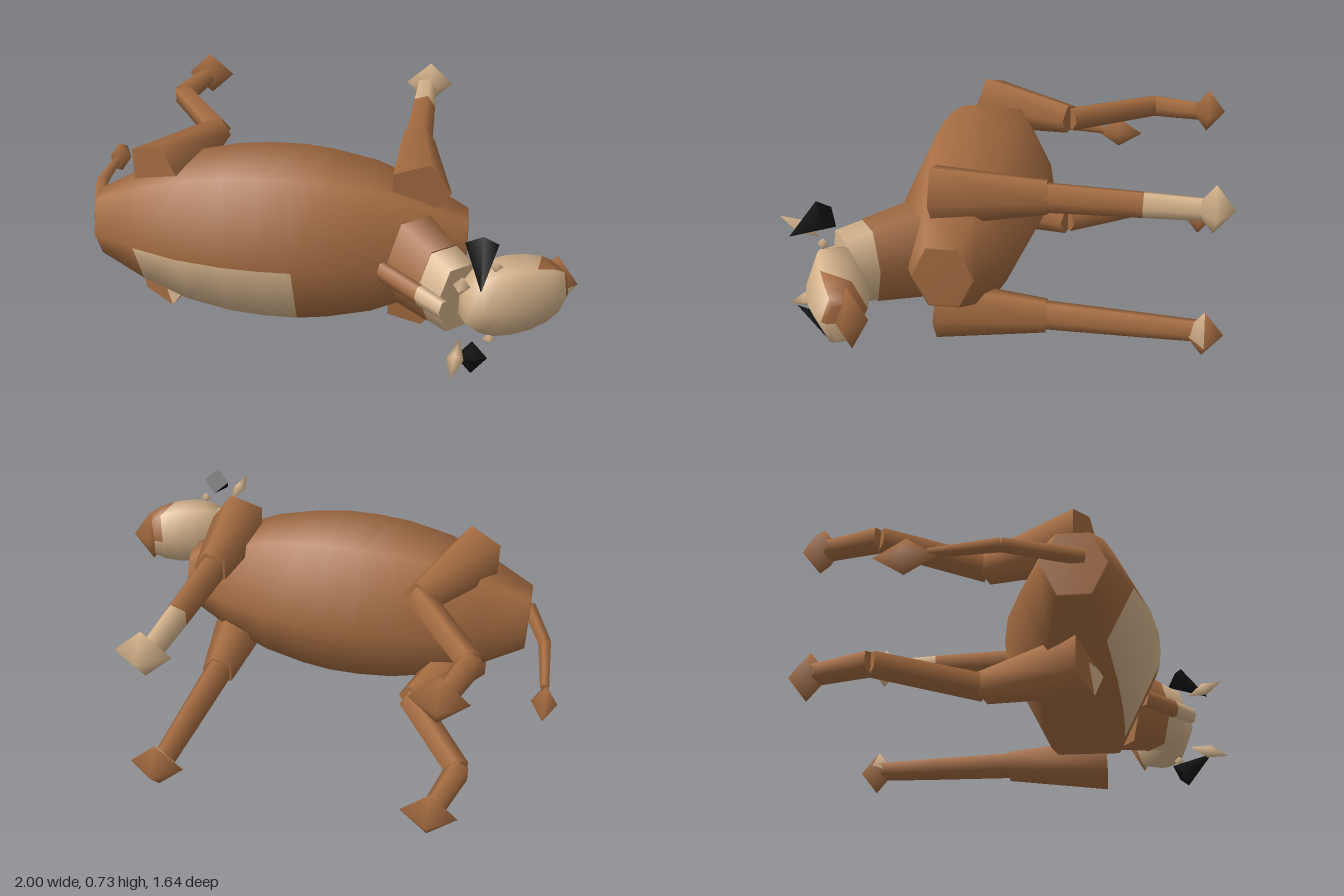
import * as THREE from 'three';

const MID = 0.375; // height of the symmetry plane
const brown = new THREE.MeshStandardMaterial({ color: 0xa66d42 });
brown.name = 'brown coat';
const tan = new THREE.MeshStandardMaterial({ color: 0xd8b68e });
tan.name = 'cream markings';
const black = new THREE.MeshStandardMaterial({ color: 0x151515 });
black.name = 'black horn';
const V = (x, y, z) => new THREE.Vector3(x, y, z);

// Places a y-axis geometry so it runs from a to b; its local x becomes the lateral (y) direction
function along(geo, a, b, lateral = 1) {
  const dir = b.clone().sub(a).normalize();
  const side = V(0, 1, 0);
  side.addScaledVector(dir, -side.dot(dir)).normalize();
  const basis = new THREE.Matrix4().makeBasis(side, dir, side.clone().cross(dir));
  geo.scale(lateral, 1, 1);
  return geo.applyMatrix4(basis.setPosition(a));
}

// Tapered segment from a to b
function limb(a, b, r0, r1, { sides = 5, lateral = 1, start = Math.PI } = {}) {
  const len = a.distanceTo(b);
  const geo = new THREE.CylinderGeometry(r1, r0, len, sides, 1, false, start);
  return along(geo.translate(0, len / 2, 0), a, b, lateral);
}

// Six-sided turned form with [distance, radius] profile
function turned(a, b, profile, lateral) {
  const pts = profile.map(([d, r]) => new THREE.Vector2(r, d));
  return along(new THREE.LatheGeometry(pts, 6), a, b, lateral);
}

// Four-sided double pyramid
function gem(c, sx, sy, sz) {
  return new THREE.SphereGeometry(1, 4, 2).scale(sx, sy, sz).translate(c.x, c.y, c.z);
}

// Makes the faces whose centre passes the test cream, the rest brown
function paint(geo, test) {
  const g = geo.toNonIndexed();
  const p = g.attributes.position;
  g.clearGroups();
  for (let i = 0; i < p.count; i += 3) {
    const c = V(0, 0, 0);
    for (let k = 0; k < 3; k++) c.add(V(p.getX(i + k), p.getY(i + k), p.getZ(i + k)));
    g.addGroup(i, 3, test(c.divideScalar(3)) ? 1 : 0);
  }
  return g;
}

export function createModel() {
  const model = new THREE.Group();
  model.name = 'animal';
  const add = (name, geo, mat, parent = model) => {
    const mesh = new THREE.Mesh(geo, mat);
    mesh.name = name;
    parent.add(mesh);
    return mesh;
  };
  const coat = [brown, tan];

  // Barrel body with a cream patch on one flank
  const body = turned(V(-0.86, MID, 0.205), V(0.6, MID, 0.205), [
    [0, 0], [0.001, 0.112], [0.004, 0.118], [0.18, 0.2], [0.36, 0.262], [0.54, 0.295], [0.68, 0.305],
    [0.81, 0.305], [0.93, 0.293], [1.1, 0.262], [1.28, 0.2], [1.456, 0.118], [1.459, 0.112], [1.46, 0],
  ], 1.18);
  add('body', paint(body, c => c.x > -0.68 && c.x < -0.05 && c.z > 0.3 && c.y < MID), coat);

  // Neck with cream collar
  const n0 = V(0.4, MID, 0.36), n1 = V(0.57, MID, 0.59);
  const nMid = n0.clone().lerp(n1, 0.62);
  add('neck', limb(n0, nMid, 0.13, 0.111, { sides: 6, lateral: 1.55 }), brown);
  add('collar', limb(nMid, n1, 0.111, 0.1, { sides: 6, lateral: 1.5 }), tan);

  // Mane ridge
  const m0 = V(0.285, MID, 0.45), m1 = V(0.515, MID, 0.67);
  const mMid = m0.clone().lerp(m1, 0.62);
  add('mane', limb(m0, mMid, 0.026, 0.026, { sides: 6, lateral: 1.6 }), brown);
  add('maneTip', limb(mMid, m1, 0.026, 0.024, { sides: 6, lateral: 1.6 }), tan);

  // Head and nose
  const head = turned(V(0.58, MID, 0.62), V(0.94, MID, 0.47), [
    [0, 0], [0.002, 0.055], [0.05, 0.088], [0.11, 0.106], [0.18, 0.11], [0.25, 0.106],
    [0.32, 0.092], [0.37, 0.07], [0.388, 0.05], [0.39, 0],
  ], 1.42);
  add('head', paint(head, c => !(c.x > 0.84 && c.y > MID && c.z < 0.53)), coat);
  const nose = gem(V(0.912, MID, 0.455), 0.086, 0.12, 0.066);
  add('nose', paint(nose, c => c.y < MID && c.z > 0.455), coat);

  // Tail
  const t = [V(-0.855, 0.4, 0.24), V(-0.933, 0.415, -0.03), V(-0.95, 0.385, -0.27)];
  add('tailBase', limb(t[0], t[1], 0.03, 0.026), brown);
  add('tailEnd', limb(t[1], t[2], 0.026, 0.018), brown);
  add('tailTuft', gem(V(-0.952, MID, -0.345), 0.048, 0.07, 0.11), brown);

  for (const s of [1, -1]) {
    const tag = s > 0 ? 'upper' : 'lower';
    const P = (x, y, z) => V(x, MID + s * y, z);

    // Fore leg: the upper one has a cream sock and hoof, the other a half-cream hoof
    add(tag + 'ForeThigh', limb(P(0.405, 0.245, 0.275), P(0.387, 0.255, -0.15), 0.122, 0.07), brown);
    const f0 = P(0.387, 0.252, -0.13), f1 = P(0.412, 0.255, -0.73);
    const fm = f0.clone().lerp(f1, 0.615);
    add(tag + 'ForeShin', limb(f0, fm, 0.06, 0.051), brown);
    add(tag + 'ForeSock', limb(fm, f1, 0.051, 0.044), s > 0 ? tan : brown);
    const hoof = gem(P(0.425, 0.26, -0.75), 0.105, 0.095, 0.075);
    add(tag + 'ForeHoof', paint(hoof, c => s > 0 || (c.y > 0.115 && c.z > -0.75)), coat);

    // Hind leg, bent at the hock
    const thigh = limb(P(-0.62, 0.25, 0.24), P(-0.445, 0.25, -0.145), 0.122, 0.065);
    add(tag + 'HindThigh', paint(thigh, c => s < 0 && c.z > 0.2 && c.x > -0.6 && c.y < 0.125), coat);
    const hock = P(-0.678, 0.25, -0.51);
    add(tag + 'HindShin', limb(P(-0.445, 0.25, -0.15), hock, 0.055, 0.05), brown);
    add(tag + 'HindFoot', limb(hock, P(-0.615, 0.255, -0.73), 0.05, 0.042), brown);
    add(tag + 'HindHoof', gem(P(-0.605, 0.26, -0.75), 0.105, 0.095, 0.075), brown);

    // Horn, ear and eye
    add(tag + 'Horn', limb(P(0.63, 0.245, 0.61), P(0.63, 0.145, 0.755), 0.058, 0.001, { sides: 4 }), black);
    const e0 = P(0.58, 0.125, 0.66), e1 = P(0.55, 0.185, 0.82);
    const len = e0.distanceTo(e1);
    const ear = new THREE.SphereGeometry(1, 4, 2).scale(0.03, len / 2, 0.03).translate(0, len / 2, 0);
    add(tag + 'Ear', along(ear, e0, e1), tan);
    add(tag + 'Eye', gem(P(0.685, 0.155, 0.61), 0.024, 0.022, 0.022), tan);
  }
  return model;
}
